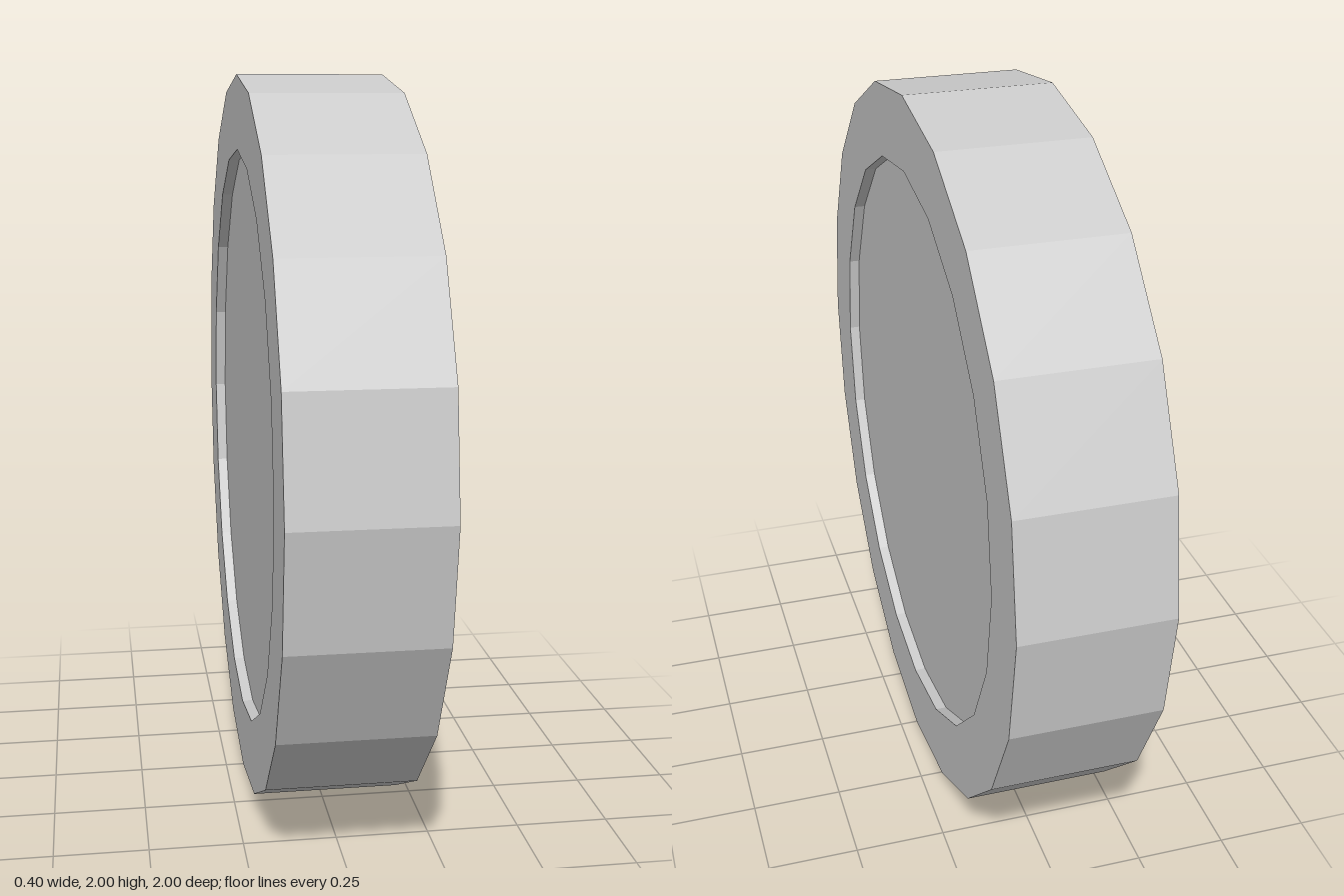
import * as THREE from 'three';

const SIDES = 20, RADIUS = 1, INNER = 0.8, HALF = 0.2, RECESS = 0.03;

export function createModel() {
  const material = new THREE.MeshStandardMaterial({ color: 0xcccccc, flatShading: true });
  const coin = new THREE.Group();
  coin.name = 'coin';

  // Raised rim: outer edge, two flat borders and the short walls down to the faces
  const floor = HALF - RECESS;
  const profile = [
    [INNER, -floor], [INNER, -HALF], [RADIUS, -HALF],
    [RADIUS, HALF], [INNER, HALF], [INNER, floor],
  ].map(([r, y]) => new THREE.Vector2(r, y));
  const rim = new THREE.Mesh(new THREE.LatheGeometry(profile, SIDES), material);
  rim.name = 'rim';
  rim.rotation.z = -Math.PI / 2;
  rim.position.y = RADIUS;
  coin.add(rim);

  // Sunken disc on each side
  for (const side of [1, -1]) {
    const face = new THREE.Mesh(new THREE.CircleGeometry(INNER, SIDES), material);
    face.name = side > 0 ? 'leftFace' : 'rightFace';
    face.rotation.y = side * Math.PI / 2;
    face.position.set(side * floor, RADIUS, 0);
    coin.add(face);
  }
  return coin;
}
